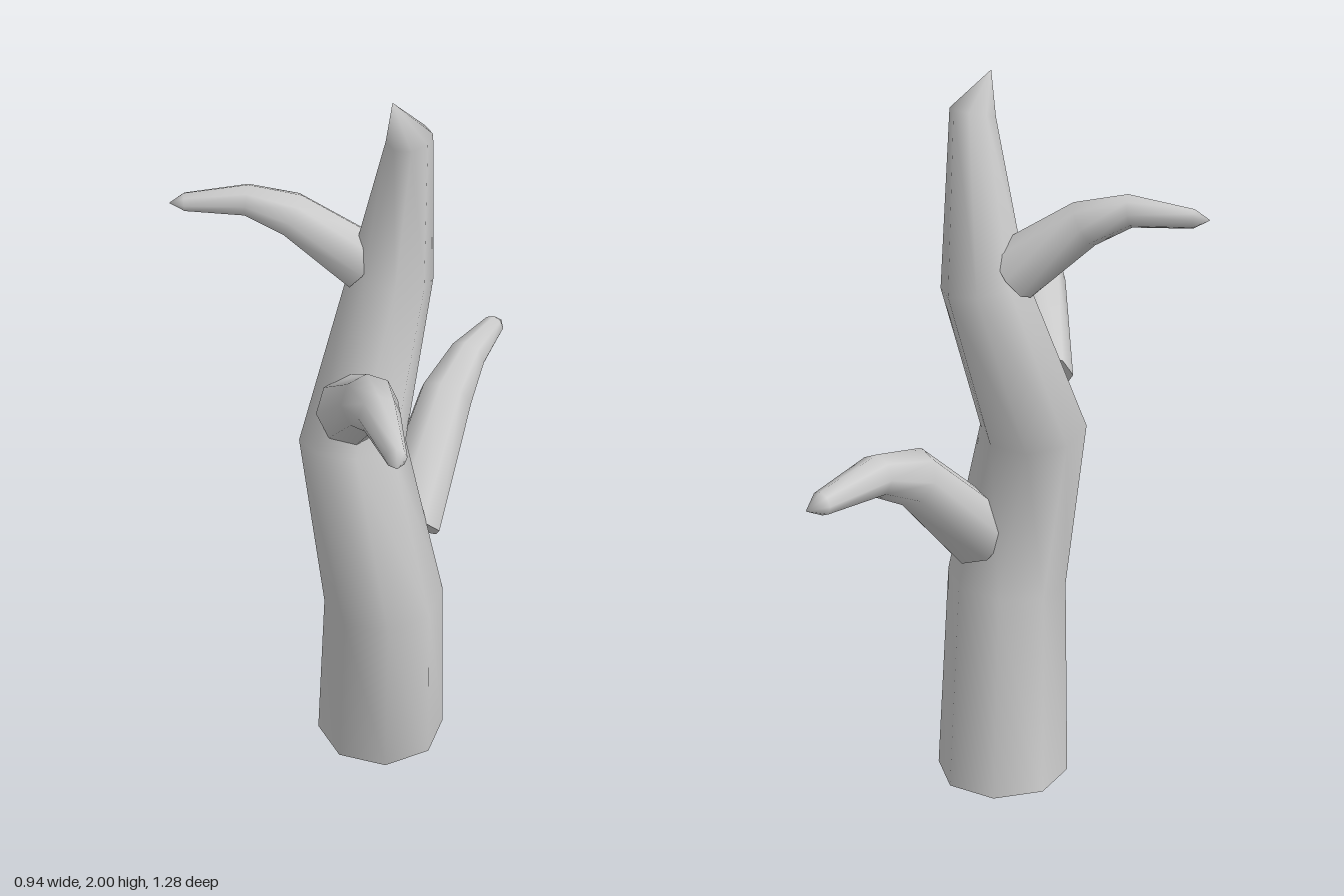
import * as THREE from 'three';

const SIDES = 8;

// Smooth tapering limb: rings of [x, y, z, radius] mitred at each bend, closed by a pointed tip
function limb(name, rings, tip, ref, startDir) {
  const centres = rings.map(([x, y, z]) => new THREE.Vector3(x, y, z));
  const end = new THREE.Vector3(...tip);
  const path = [...centres, end];
  const dirs = centres.map((c, i) => path[i + 1].clone().sub(c).normalize());
  const pos = [];
  const index = [];

  rings.forEach(([, , , r], i) => {
    const n = i ? dirs[i - 1].clone().add(dirs[i]).normalize() : (startDir || dirs[0]).clone();
    const u = ref.clone().addScaledVector(n, -ref.dot(n)).normalize();
    const v = n.clone().cross(u);
    for (let j = 0; j < SIDES; j++) {
      const a = (j / SIDES) * Math.PI * 2;
      const p = centres[i].clone().addScaledVector(u, r * Math.cos(a)).addScaledVector(v, r * Math.sin(a));
      pos.push(p.x, p.y, p.z);
    }
  });

  // side walls and tip
  const last = rings.length - 1;
  const tipIndex = rings.length * SIDES;
  pos.push(end.x, end.y, end.z);
  for (let j = 0; j < SIDES; j++) {
    const k = (j + 1) % SIDES;
    for (let i = 0; i < last; i++) {
      const a = i * SIDES + j, b = i * SIDES + k;
      index.push(a, b, a + SIDES, b, b + SIDES, a + SIDES);
    }
    index.push(last * SIDES + j, last * SIDES + k, tipIndex);
  }

  // flat base cap with its own vertices for a hard edge
  const cap = tipIndex + 1;
  pos.push(...pos.slice(0, SIDES * 3));
  for (let j = 1; j < SIDES - 1; j++) index.push(cap, cap + j + 1, cap + j);

  const geo = new THREE.BufferGeometry();
  geo.setAttribute('position', new THREE.Float32BufferAttribute(pos, 3));
  geo.setIndex(index);
  geo.computeVertexNormals();
  const mesh = new THREE.Mesh(geo, new THREE.MeshStandardMaterial({ color: 0xcccccc }));
  mesh.name = name;
  return mesh;
}

export function createModel() {
  const group = new THREE.Group();
  group.name = 'bareTree';
  const X = new THREE.Vector3(1, 0, 0);
  const Y = new THREE.Vector3(0, 1, 0);

  // crooked trunk
  group.add(limb('trunk', [
    [0.072, 0, -0.045, 0.185],
    [0.07, 0.555, 0.045, 0.166],
    [-0.012, 1.035, -0.018, 0.144],
    [0.1, 1.47, -0.15, 0.113],
    [0.135, 1.895, -0.075, 0.06],
  ], [0.09, 2, -0.055], X, Y));

  // drooping branches
  group.add(limb('frontBranch', [
    [-0.018, 1.16, 0.03, 0.095],
    [0.01, 1.345, 0.285, 0.073],
    [0.025, 1.39, 0.415, 0.053],
    [0.052, 1.382, 0.59, 0.027],
  ], [0.05, 1.385, 0.64], Y));

  group.add(limb('backLeftBranch', [
    [0.14, 0.73, -0.05, 0.1],
    [0.27, 0.985, -0.295, 0.078],
    [0.34, 1.035, -0.42, 0.056],
    [0.44, 1.03, -0.6, 0.032],
  ], [0.47, 1.025, -0.64], Y));

  group.add(limb('rightBranch', [
    [0.025, 1.505, -0.155, 0.082],
    [-0.16, 1.642, -0.172, 0.061],
    [-0.275, 1.682, -0.182, 0.043],
    [-0.435, 1.672, -0.2, 0.025],
  ], [-0.475, 1.67, -0.2], Y));

  return group;
}
